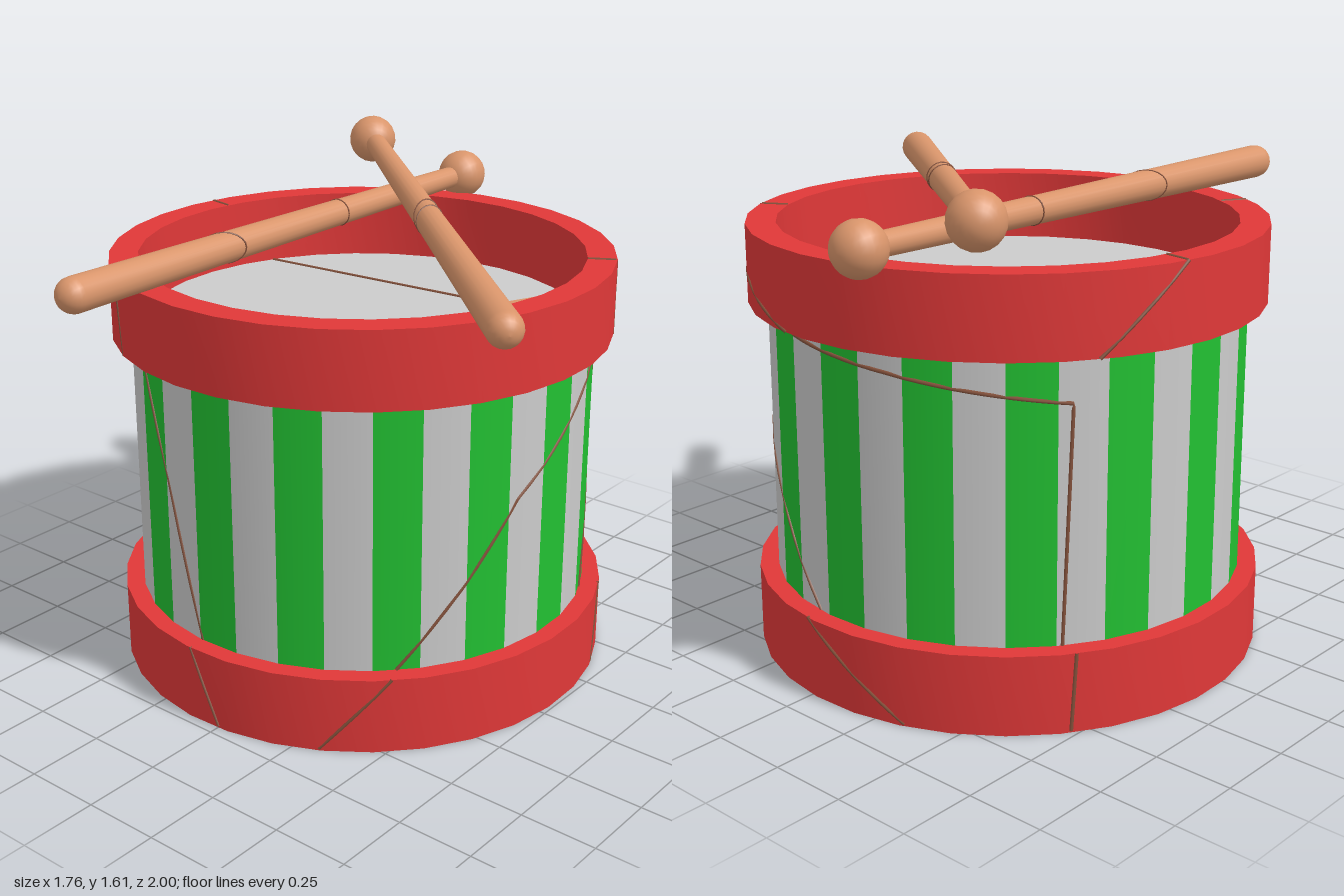
import * as THREE from 'three';
import { mergeGeometries, toCreasedNormals } from 'three/addons/utils/BufferGeometryUtils.js';

const mat = (color, side = THREE.FrontSide) => new THREE.MeshStandardMaterial({ color, side });
const red = mat(0xe03838, THREE.DoubleSide);
const green = mat(0x22c032);
const grey = mat(0xcccccc);
const wood = mat(0xd9956b);
const crackMat = mat(0x85523c);

const SIDES = 32;
const STEP = (Math.PI * 2) / SIDES;
const START = THREE.MathUtils.degToRad(-3.6);
const HOOP_R = 0.81, SHELL_R = 0.75, INNER_R = 0.717;
const LOW = 0.25, HIGH = 1.12, TOP = 1.365, HEAD_Y = 1.14;

function addMesh(parent, name, geometry, material) {
  const mesh = new THREE.Mesh(geometry, material);
  mesh.name = name;
  parent.add(mesh);
  return mesh;
}

function hoop(profile) {
  const pts = profile.map(([r, y]) => new THREE.Vector2(r, y));
  return toCreasedNormals(new THREE.LatheGeometry(pts, SIDES, START), 0.6);
}

// Every second facet of the shell, starting at the given one
function stripes(first) {
  const parts = [];
  for (let i = first; i < SIDES; i += 2) {
    const g = new THREE.CylinderGeometry(SHELL_R, SHELL_R, HIGH - LOW, 1, 1, true, START + i * STEP, STEP);
    parts.push(g.translate(0, (HIGH + LOW) / 2, 0));
  }
  return mergeGeometries(parts);
}

// Thin line through points
function line(points, radius = 0.006) {
  const path = new THREE.CurvePath();
  for (let i = 1; i < points.length; i++) path.add(new THREE.LineCurve3(points[i - 1], points[i]));
  return new THREE.TubeGeometry(path, points.length * 6, radius, 5);
}

function onRing(r, deg, y) {
  const a = THREE.MathUtils.degToRad(deg);
  return new THREE.Vector3(r * Math.sin(a), y, r * Math.cos(a));
}

// Crack hugging a cylinder, from [degrees, height] pairs
function wallCrack(r, pairs) {
  const pts = [];
  pairs.forEach(([a, y], i) => {
    if (i > 0) {
      const [a0, y0] = pairs[i - 1];
      const n = Math.max(2, Math.ceil(Math.abs(a - a0) / 4));
      for (let k = 1; k <= n; k++) pts.push(onRing(r, a0 + (a - a0) * k / n, y0 + (y - y0) * k / n));
    } else pts.push(onRing(r, a, y));
  });
  return line(pts);
}

function drumstick(name, butt, tip, cracks) {
  const stick = new THREE.Group();
  stick.name = name;
  const length = butt.distanceTo(tip);
  const r0 = 0.055, r1 = 0.036;

  // Round butt end, then a straight taper to the tip
  const profile = [];
  for (let i = 0; i <= 6; i++) {
    const a = (i / 6) * Math.PI / 2;
    profile.push(new THREE.Vector2(r0 * Math.sin(a), -r0 * Math.cos(a)));
  }
  profile.push(new THREE.Vector2(r1, length));
  addMesh(stick, 'stickShaft', new THREE.LatheGeometry(profile, 20), wood);
  addMesh(stick, 'stickBall', new THREE.SphereGeometry(0.083, 20, 14), wood).position.y = length;

  // Split lines around the shaft
  for (const [t, tilt] of cracks) {
    const r = r0 + (r1 - r0) * t;
    const pts = [];
    for (let i = 0; i <= 20; i++) {
      const a = (i / 20) * Math.PI * 2;
      pts.push(new THREE.Vector3(r * Math.cos(a), length * t + tilt * Math.cos(a), r * Math.sin(a)));
    }
    addMesh(stick, 'stickCrack', line(pts, 0.003), crackMat);
  }

  stick.position.copy(butt);
  stick.quaternion.setFromUnitVectors(new THREE.Vector3(0, 1, 0), tip.clone().sub(butt).normalize());
  return stick;
}

export function createModel() {
  const model = new THREE.Group();
  const drum = new THREE.Group();
  drum.name = 'drum';
  drum.position.set(-0.07, 0, -0.09);
  model.add(drum);

  // Hoops, striped shell and recessed head
  addMesh(drum, 'lowerHoop', hoop([[0, 0], [HOOP_R, 0], [HOOP_R, LOW], [0.73, LOW]]), red);
  addMesh(drum, 'upperHoop',
    hoop([[0.73, HIGH], [HOOP_R, HIGH], [HOOP_R, TOP], [INNER_R, TOP], [INNER_R, HIGH]]), red);
  addMesh(drum, 'greenStripes', stripes(0), green);
  addMesh(drum, 'paleStripes', stripes(1), grey);
  const head = new THREE.CircleGeometry(INNER_R + 0.01, SIDES).rotateX(-Math.PI / 2).rotateY(START);
  addMesh(drum, 'drumHead', head, grey).position.y = HEAD_Y;

  // Cracks in the shell
  [
    [[-26, HIGH], [-14.7, 0.77], [-3, LOW]],
    [[47, LOW], [63, 0.5], [78, 0.75], [98, 0.93], [120, 1.1]],
    [[120, 1.1], [130, 0.8], [114, LOW]],
    [[130, 0.8], [153, 0.55], [173, LOW]],
    [[165, 1.09], [195, 1.05], [236, 0.98], [234, LOW]],
  ].forEach(c => addMesh(drum, 'shellCrack', wallCrack(SHELL_R - 0.003, c), crackMat));

  // Cracks in the hoops
  [
    [[-31, TOP], [-26.4, HIGH]],
    [[120, TOP], [122, 1.25], [120, HIGH]],
    [[122, 1.25], [148, 1.2], [170, HIGH]],
    [[260, TOP], [240, HIGH]],
    [[-2.8, LOW], [5, 0.005]],
    [[45.5, LOW], [29.5, 0.005]],
    [[118, LOW], [110, 0.005]],
    [[174, LOW], [200, 0.005]],
    [[236, LOW], [235, 0.005]],
  ].forEach(c => addMesh(drum, 'hoopCrack', wallCrack(HOOP_R - 0.004, c), crackMat));
  for (const a of [-31, 120, 260]) {
    addMesh(drum, 'hoopTopCrack', line([onRing(INNER_R, a, TOP - 0.002), onRing(HOOP_R - 0.005, a, TOP - 0.002)]), crackMat);
  }

  // Cracks across the head and the base
  const flat = (x, z) => new THREE.Vector3(x + 0.07, HEAD_Y, z + 0.09);
  addMesh(drum, 'headCrack', line([flat(-0.72, -0.38), flat(0.2, -0.46), flat(0.5, -0.45)]), crackMat);
  addMesh(drum, 'headCrack', line([flat(0.5, -0.45), flat(-0.25, 0.4), flat(-0.38, 0.56)]), crackMat);
  const sliver = new THREE.Shape([[0.2, 0.46], [0.235, 0.46], [0.325, 0.685], [0.3, 0.69]]
    .map(([x, y]) => new THREE.Vector2(x + 0.07, y - 0.09)));
  addMesh(drum, 'headSplinter', new THREE.ShapeGeometry(sliver).rotateX(-Math.PI / 2), wood).position.y = HEAD_Y + 0.003;
  addMesh(drum, 'baseCrack', line([30, 8, 235].map(a => onRing(0.8, a, 0.005))), crackMat);

  // Crossed drumsticks resting on the upper hoop
  model.add(drumstick('lowerDrumstick', new THREE.Vector3(-0.28, 1.422, 0.945),
    new THREE.Vector3(-0.28, 1.422, -0.917), [[0.33, 0.05], [0.625, 0.005]]));
  model.add(drumstick('upperDrumstick', new THREE.Vector3(0.825, 1.417, 0.41),
    new THREE.Vector3(-0.6, 1.525, -0.8), [[0.49, 0.02], [0.515, 0.04]]));
  return model;
}
